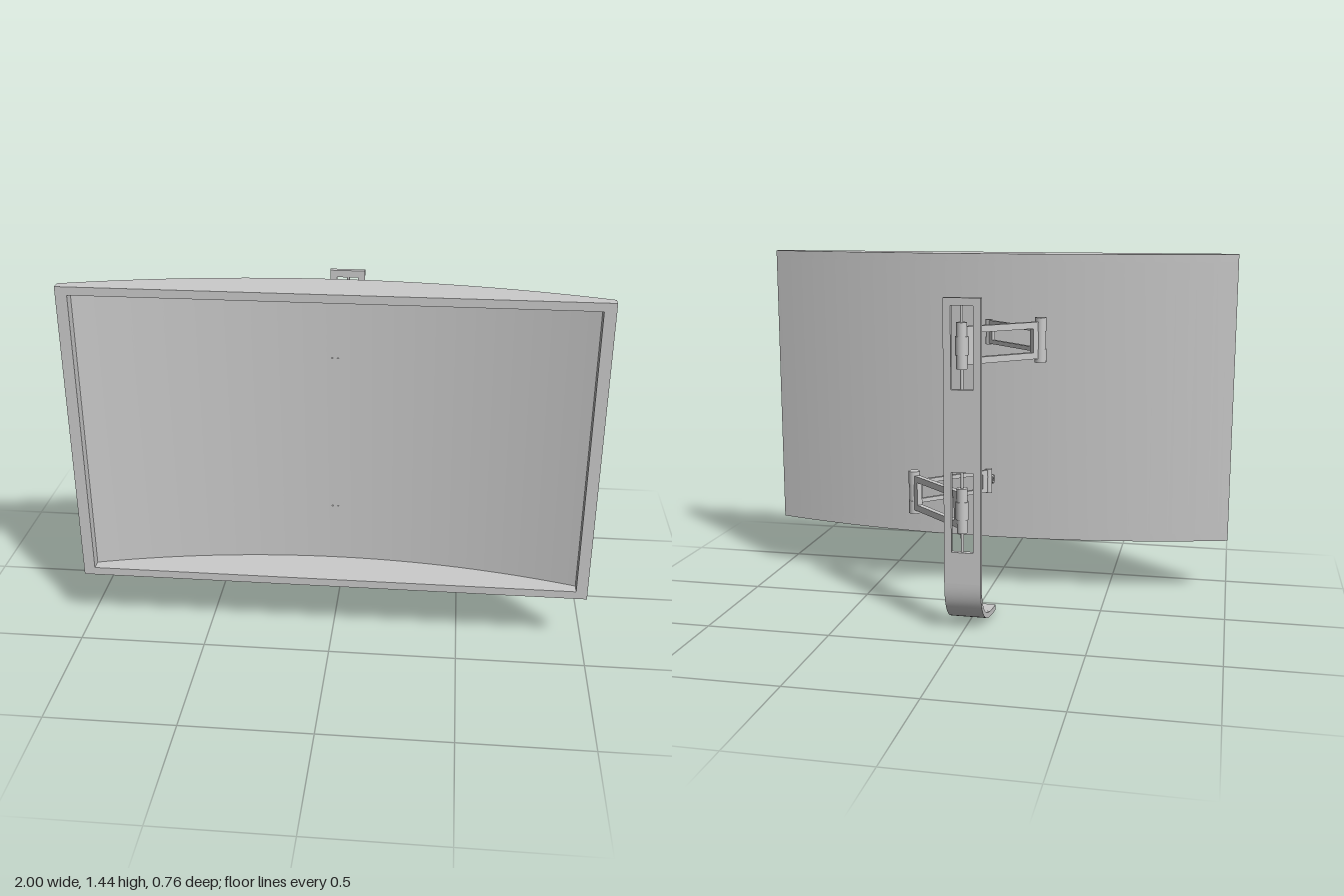
import * as THREE from 'three';
import { toCreasedNormals } from 'three/addons/utils/BufferGeometryUtils.js';

const material = new THREE.MeshStandardMaterial({ color: 0xcccccc });

function addMesh(parent, name, geometry, x = 0, y = 0, z = 0) {
  const mesh = new THREE.Mesh(geometry, material);
  mesh.name = name;
  mesh.position.set(x, y, z);
  parent.add(mesh);
  return mesh;
}

const shapeOf = (pts) => new THREE.Shape(pts.map(([x, y]) => new THREE.Vector2(x, y)));
const rect = (x0, y0, x1, y1) => [[x0, y0], [x1, y0], [x1, y1], [x0, y1]];
const extrude = (shape, depth) =>
  toCreasedNormals(new THREE.ExtrudeGeometry(shape, { depth, bevelEnabled: false, curveSegments: 24 }), 0.5);

// Points (x, z) on the bowed back, from -half to +half
function bow(half, zMid, steps = 48) {
  const R = 3.52;
  return Array.from({ length: steps + 1 }, (_, i) => {
    const x = -half + (2 * half * i) / steps;
    return [x, zMid + R - Math.sqrt(R * R - x * x)];
  });
}

// Extrude a plan outline (x, z) upwards between two heights
function planSlab(pts, y0, y1) {
  return extrude(shapeOf(pts), y1 - y0).rotateX(Math.PI / 2).translate(0, y1, 0);
}

function buildScreen() {
  const g = new THREE.Group();
  g.name = 'curvedScreen';
  const front = 0.385, y0 = 0.23, y1 = 1.44, border = 0.032, inner = 0.956;
  const full = [...bow(1, 0.202), [1, front], [-1, front]];
  addMesh(g, 'topRim', planSlab(full, y1 - border, y1));
  addMesh(g, 'bottomRim', planSlab(full, y0, y0 + border));
  // Curved panel with the two side rims
  const panel = [...bow(1, 0.202), [1, front], [inner, front],
    ...bow(inner, 0.211).reverse(), [-inner, front], [-1, front]];
  addMesh(g, 'curvedPanelAndSideRims', planSlab(panel, y0 + border, y1 - border));
  return g;
}

function buildStand(heights) {
  const g = new THREE.Group();
  g.name = 'stand';
  const cx = -0.003, half = 0.072, thick = 0.022, zMid = -0.358;

  // Upright strap with one window per arm
  const strap = shapeOf(rect(-half, 0.2, half, 1.302));
  for (const y of heights) {
    strap.holes.push(shapeOf(rect(-0.043, y - 0.165, 0.043, y + 0.15)));
  }
  addMesh(g, 'strap', extrude(strap, thick), cx, 0, zMid - thick / 2);

  // Foot sweeping forwards
  const curve = new THREE.CubicBezierCurve(
    new THREE.Vector2(zMid, 0.2), new THREE.Vector2(zMid, 0.065),
    new THREE.Vector2(-0.27, 0.016), new THREE.Vector2(-0.075, 0.011));
  const side = (d) => Array.from({ length: 25 }, (_, i) => {
    const p = curve.getPoint(i / 24), t = curve.getTangent(i / 24);
    return [p.x - t.y * d, p.y + t.x * d];
  });
  const profile = [...side(-thick / 2), ...side(thick / 2).reverse()];
  const foot = extrude(shapeOf(profile.map(([z, y]) => [-z, y])), 2 * half);
  foot.translate(0, 0, -half).rotateY(Math.PI / 2);
  addMesh(g, 'foot', foot, cx);
  return g;
}

// Flat open frame in a vertical plane, from a to b (x, z)
function addLink(parent, name, a, b, height, bar, inset, thick) {
  const dx = b[0] - a[0], dz = b[1] - a[1], L = Math.hypot(dx, dz), h = height / 2;
  const s = shapeOf(rect(0, -h, L, h));
  s.holes.push(shapeOf(rect(inset, -h + bar, L - inset, h - bar)));
  const mesh = addMesh(parent, name, extrude(s, thick).translate(0, 0, -thick / 2), a[0], 0, a[1]);
  mesh.rotation.y = Math.atan2(-dz, dx);
}

// Hinge barrel in three knuckles
function addHinge(parent, name, [x, z], height, rEnd, rMid) {
  const g = new THREE.Group();
  g.name = name;
  g.position.set(x, 0, z);
  const mid = height * 0.4, end = (height - mid) / 2;
  addMesh(g, 'middleKnuckle', new THREE.CylinderGeometry(rMid, rMid, mid, 24));
  for (const s of [-1, 1]) {
    addMesh(g, 'endKnuckle', new THREE.CylinderGeometry(rEnd, rEnd, end, 24), 0, s * (mid + end) / 2, 0);
  }
  parent.add(g);
}

// Eye plate standing in the y-z plane, reaching along z
function eyePlate(reach, thick) {
  const r = 0.019, s = new THREE.Shape();
  s.moveTo(reach, -0.01);
  s.lineTo(reach, 0.01);
  s.lineTo(0, r);
  s.absarc(0, 0, r, Math.PI / 2, Math.PI * 1.5, false);
  s.closePath();
  const hole = new THREE.Path();
  hole.absarc(0, 0, 0.008, 0, Math.PI * 2, true);
  s.holes.push(hole);
  return extrude(s, thick).translate(0, 0, -thick / 2).rotateY(-Math.PI / 2);
}

function buildArm(name, y, side) {
  const g = new THREE.Group();
  g.name = name;
  g.position.y = y;
  const rear = [0, -0.355], elbow = [side * 0.257, -0.105], front = [0, 0.15];

  addLink(g, 'rearLink', rear, elbow, 0.143, 0.025, 0.042, 0.023);
  addLink(g, 'frontLink', elbow, front, 0.096, 0.017, 0.034, 0.015);
  addHinge(g, 'rearHinge', rear, 0.175, 0.021, 0.025);
  addHinge(g, 'elbowHinge', elbow, 0.175, 0.023, 0.021);
  addHinge(g, 'frontHinge', front, 0.103, 0.014, 0.013);

  // Rod held by the strap window
  addMesh(g, 'hingeRod', new THREE.CylinderGeometry(0.006, 0.006, 0.315, 12), rear[0], -0.0075, rear[1]);

  // Tilting joint at the back of the screen
  for (const s of [-1, 1]) {
    addMesh(g, 'screenLug', eyePlate(0.034, 0.006), s * 0.011, 0, 0.181);
  }
  const tongue = addMesh(g, 'tiltTongue', eyePlate(0.031, 0.012), 0, 0, 0.181);
  tongue.rotation.y = Math.PI;
  return g;
}

export function createModel() {
  const model = new THREE.Group();
  model.name = 'curvedScreenOnStand';
  const upper = 1.123, lower = 0.49;
  model.add(buildScreen());
  model.add(buildStand([upper, lower]));
  model.add(buildArm('upperArm', upper, -1));
  model.add(buildArm('lowerArm', lower, 1));
  return model;
}
